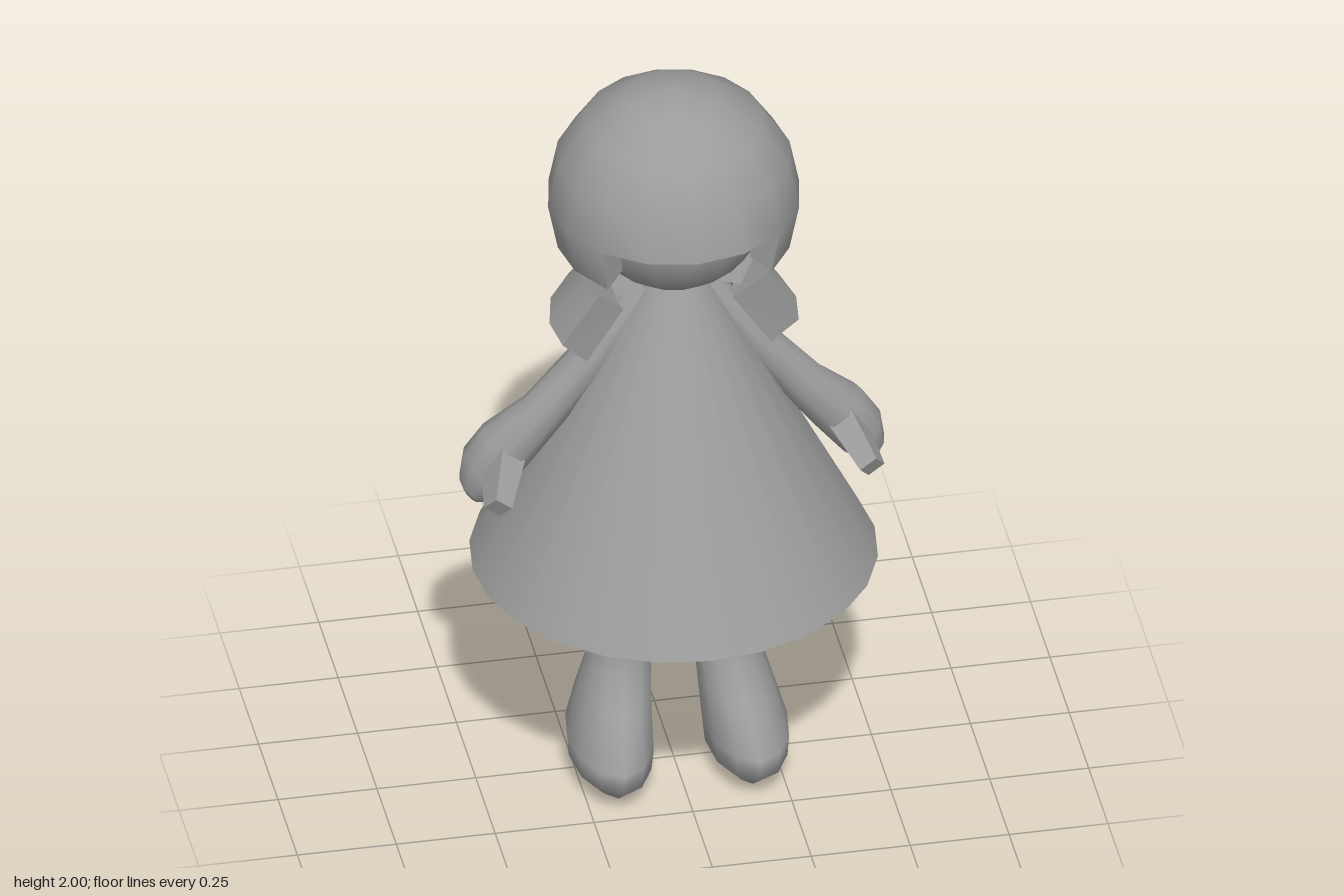
import * as THREE from 'three';
import { toCreasedNormals } from 'three/addons/utils/BufferGeometryUtils.js';

const material = new THREE.MeshStandardMaterial({ color: 0x9c9c9c });
const doubleSided = new THREE.MeshStandardMaterial({ color: 0x9c9c9c, side: THREE.DoubleSide });
const V = (x, y, z) => new THREE.Vector3(x, y, z);

// Surface from a list of four-cornered faces, with edges sharp above the crease angle
function quadSurface(quads, crease) {
  const points = quads.flatMap(([a, b, c, d]) => [a, b, c, a, c, d]);
  return toCreasedNormals(new THREE.BufferGeometry().setFromPoints(points), crease);
}

// Smooth skin over rings of equal point count, closed at both ends.
// Rings run anticlockwise about the direction of travel.
function loft(rings) {
  const n = rings[0].length;
  const points = rings.flat();
  const index = [];
  for (let r = 0; r < rings.length - 1; r++) {
    for (let i = 0; i < n; i++) {
      const a = r * n + i, b = r * n + (i + 1) % n;
      index.push(a, b, a + n, b, b + n, a + n);
    }
  }
  const cap = (ring, start, flip) => {
    const centre = ring.reduce((s, p) => s.add(p), V(0, 0, 0)).divideScalar(n);
    const c = points.push(centre) - 1;
    for (let i = 0; i < n; i++) {
      const a = start + i, b = start + (i + 1) % n;
      index.push(c, flip ? b : a, flip ? a : b);
    }
  };
  cap(rings[0], 0, true);
  cap(rings[rings.length - 1], (rings.length - 1) * n, false);
  const g = new THREE.BufferGeometry().setFromPoints(points);
  g.setIndex(index);
  g.computeVertexNormals();
  return g;
}

// Copy reflected across x = 0, with the corners turned round to match
function mirrored(geometry) {
  const g = geometry.index ? geometry.toNonIndexed() : geometry.clone();
  for (const attribute of [g.attributes.position, g.attributes.normal]) {
    for (let t = 0; t < attribute.count; t += 3) {
      const [a, b, c] = [0, 1, 2].map(k => V(0, 0, 0).fromBufferAttribute(attribute, t + k));
      [a, c, b].forEach((p, k) => attribute.setXYZ(t + k, -p.x, p.y, p.z));
    }
  }
  return g;
}

// Hair: a thick spherical cap with a stepped opening around the face
function hairGeometry() {
  const step = Math.PI / 8;
  const ring = (r, y, i) => V(r * Math.sin(i * step), y, r * Math.cos(i * step));
  const sphere = (r, cy, k, i) => ring(r * Math.sin(k * step), cy + r * Math.cos(k * step), i);
  const outer = (k, i) => sphere(0.317, 1.684, k, i);
  const inner = (k, i) => k === 6 ? ring(0.17, 1.437, i) : sphere(0.245, 1.677, k, i);
  const endRow = i => {
    const c = (i + 16) % 16, d = Math.min(c, 15 - c);
    return d < 2 ? 4 : d < 3 ? 5 : 6;
  };
  const quads = [];
  for (let i = 0; i < 16; i++) {
    const end = endRow(i), before = endRow(i - 1);
    for (let k = 0; k < end; k++) {
      quads.push([outer(k, i), outer(k + 1, i), outer(k + 1, i + 1), outer(k, i + 1)]);
    }
    // Lower rim
    quads.push([outer(end, i), inner(end, i), inner(end, i + 1), outer(end, i + 1)]);
    if (end === 6) {
      quads.push([inner(6, i), ring(0.06, 1.445, i), ring(0.06, 1.445, i + 1), inner(6, i + 1)]);
    }
    // Walls at the steps of the opening
    for (let k = Math.min(end, before); k < Math.max(end, before); k++) {
      const wall = [outer(k, i), inner(k, i), inner(k + 1, i), outer(k + 1, i)];
      quads.push(end > before ? wall : wall.reverse());
    }
  }
  return quadSurface(quads, 0.6);
}

// Side lock: a curved, flaring block under the hair
function lockGeometry() {
  const corner = (r, y, deg) => {
    const a = THREE.MathUtils.degToRad(deg);
    return V(r * Math.sin(a), y, r * Math.cos(a));
  };
  const rings = [[67.5, 73], [90, 92], [112.5, 113], [135, 134]].map(([top, low]) => [
    corner(0.222, 1.462, top), corner(0.312, 1.33, low),
    corner(0.243, 1.26, low), corner(0.15, 1.395, top)]);
  const quads = [[...rings[0]].reverse(), rings[3]];
  for (let r = 0; r < 3; r++) {
    for (let i = 0; i < 4; i++) {
      const j = (i + 1) % 4;
      quads.push([rings[r][i], rings[r][j], rings[r + 1][j], rings[r + 1][i]]);
    }
  }
  return quadSurface(quads, 0.6);
}

// Leg and foot: level rings that stretch forward into a tilted sole
function legGeometry() {
  // x min, x max, z back, z front, y back, y front
  const sections = [
    [0.035, 0.195, -0.085, 0.085, 0.72, 0.72],
    [0.04, 0.195, -0.085, 0.08, 0.6, 0.6],
    [0.05, 0.205, -0.085, 0.07, 0.42, 0.42],
    [0.055, 0.225, -0.1, 0.08, 0.3, 0.31],
    [0.06, 0.25, -0.135, 0.15, 0.21, 0.235],
    [0.064, 0.278, -0.152, 0.243, 0.13, 0.12],
    [0.07, 0.274, -0.142, 0.235, 0.08, 0.06],
    [0.12, 0.22, -0.1, 0.158, 0.05, 0]];
  const n = 12;
  return loft(sections.map(([x0, x1, z0, z1, y0, y1]) => Array.from({ length: n }, (_, i) => {
    const a = -i / n * Math.PI * 2;
    const u = Math.sin(a) / 2 + 0.5, w = Math.cos(a) / 2 + 0.5;
    return V(x0 + (x1 - x0) * u, y0 + (y1 - y0) * w, z0 + (z1 - z0) * w);
  })));
}

// Arm and hand: rings square to the slanting arm
function armGeometry() {
  // centre x, y, z, half thickness, half depth
  const sections = [
    [0.07, 1.43, 0, 0.04, 0.045],
    [0.2, 1.24, 0, 0.05, 0.056],
    [0.33, 1.08, 0, 0.06, 0.055],
    [0.42, 0.98, -0.018, 0.075, 0.078],
    [0.47, 0.91, -0.025, 0.07, 0.084],
    [0.5, 0.855, -0.025, 0.045, 0.06],
    [0.505, 0.835, -0.025, 0.025, 0.033]];
  const n = 10;
  return loft(sections.map(([x, y, z, thick, deep]) => Array.from({ length: n }, (_, i) => {
    const a = i / n * Math.PI * 2;
    const s = Math.cos(a) * thick;
    return V(x + 0.809 * s, y + 0.588 * s, z + Math.sin(a) * deep);
  })));
}

// Thumb: a tapered four-sided peg reaching forward from inside the hand
function thumbGeometry() {
  const across = V(0.809, 0.588, 0), along = V(0.5, -0.69, -0.5);
  const ring = (c, h, w) => [[-1, -1], [-1, 1], [1, 1], [1, -1]].map(([s, t]) =>
    c.clone().addScaledVector(across, s * h).addScaledVector(along, t * w));
  return toCreasedNormals(loft([
    ring(V(0.432, 0.965, 0.01), 0.036, 0.05),
    ring(V(0.473, 0.905, 0.15), 0.025, 0.026)]), 0.5);
}

export function createModel() {
  const model = new THREE.Group();
  model.name = 'doll';
  const add = (name, geometry, mat = material) => {
    const mesh = new THREE.Mesh(geometry, mat);
    mesh.name = name;
    model.add(mesh);
    return mesh;
  };

  // Head
  add('face', new THREE.SphereGeometry(0.243, 16, 12)).position.y = 1.688;
  add('hair', hairGeometry(), doubleSided);

  // Dress
  add('dress', new THREE.CylinderGeometry(0.085, 0.508, 0.828, 24)).position.y = 1.037;

  // Paired parts
  const pairs = { Lock: lockGeometry(), Leg: legGeometry(), Arm: armGeometry(), Thumb: thumbGeometry() };
  for (const [part, geometry] of Object.entries(pairs)) {
    add('left' + part, geometry);
    add('right' + part, mirrored(geometry));
  }
  return model;
}
